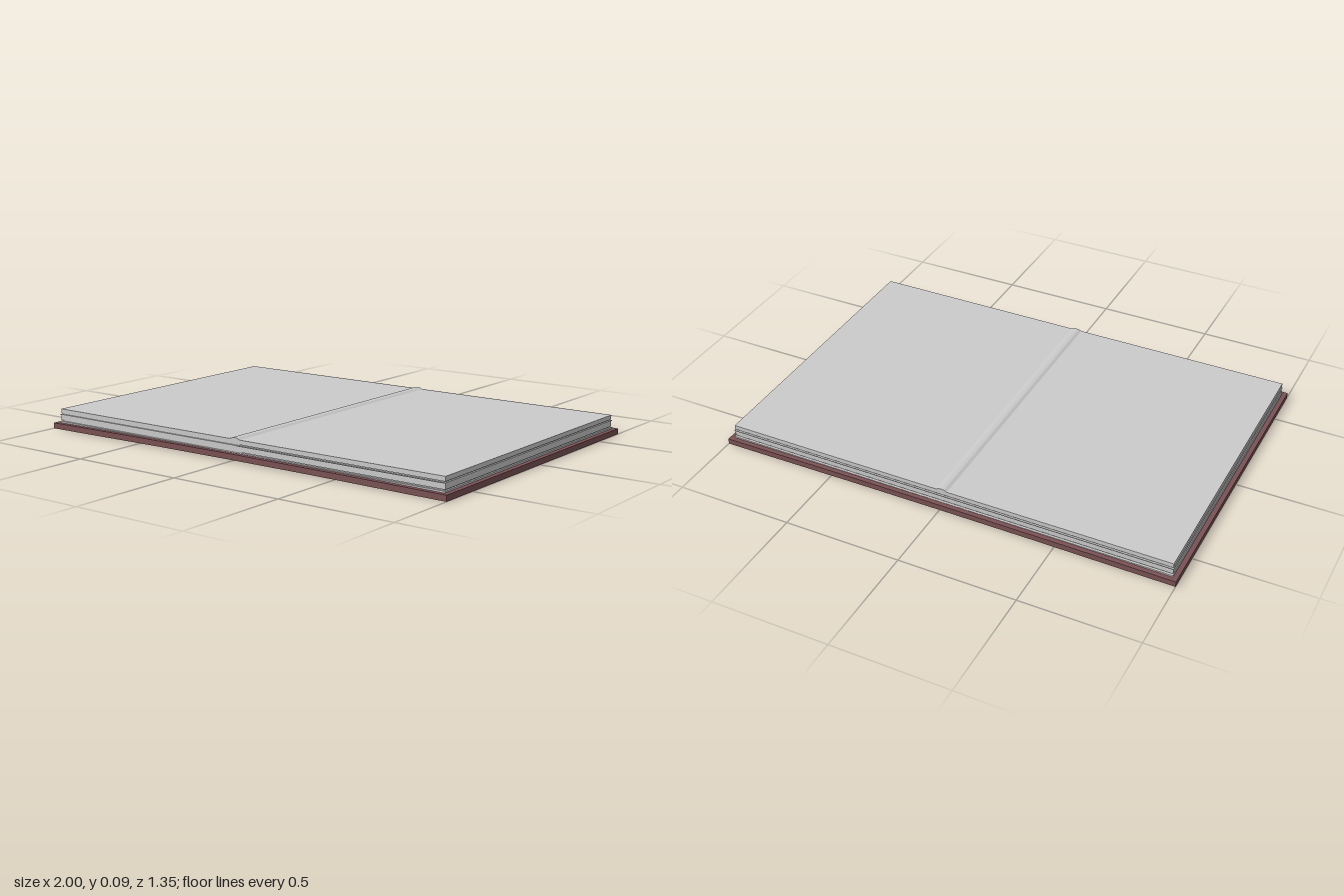
import * as THREE from 'three';

const grey = new THREE.MeshStandardMaterial({ color: 0xcccccc, flatShading: true });
const leather = new THREE.MeshStandardMaterial({ color: 0x7a5254, flatShading: true });

// Mirrors a right-half edge [x, y] (from the spine outwards) to the full width
const mirror = (half) => [
  ...half.slice().reverse().map(([x, y]) => [-x, y]),
  ...half.filter(([x]) => x > 0),
];

// Slab running along z, bounded by a lower and an upper edge across x
function slab(name, lower, upper, depth, material) {
  const outline = [...mirror(lower), ...mirror(upper).reverse()];
  const shape = new THREE.Shape(outline.map(([x, y]) => new THREE.Vector2(x, y)));
  const geometry = new THREE.ExtrudeGeometry(shape, { depth, bevelEnabled: false });
  geometry.translate(0, 0, -depth / 2);
  const mesh = new THREE.Mesh(geometry, material);
  mesh.name = name;
  return mesh;
}

export function createModel() {
  const book = new THREE.Group();
  book.name = 'openBook';

  // Cover boards, lifting very slightly towards the spine
  book.add(slab('cover',
    [[0, 0.006], [0.4, 0.005], [0.85, 0.001], [1, 0]],
    [[0, 0.03], [0.55, 0.028], [1, 0.024]], 1.35, leather));

  // Page block: endpaper, lower leaves, recessed gap, upper leaves
  const bump = [[0, 0.091], [0.012, 0.09], [0.024, 0.084], [0.978, 0.084]];
  const flat = (x, y) => [[0, y], [x, y]];
  const pages = new THREE.Group();
  pages.name = 'pages';
  pages.add(
    slab('endpaper', flat(0.98, 0.022), flat(0.98, 0.031), 1.31, grey),
    slab('lowerGap', flat(0.972, 0.031), flat(0.972, 0.035), 1.29, grey),
    slab('lowerLeaves', flat(0.978, 0.035), flat(0.978, 0.058), 1.298, grey),
    slab('middleSheet', flat(0.98, 0.058), flat(0.98, 0.061), 1.306, grey),
    slab('upperGap', flat(0.972, 0.061), flat(0.972, 0.065), 1.29, grey),
    slab('upperLeaves', flat(0.978, 0.065), bump, 1.298, grey),
  );
  book.add(pages);
  return book;
}
